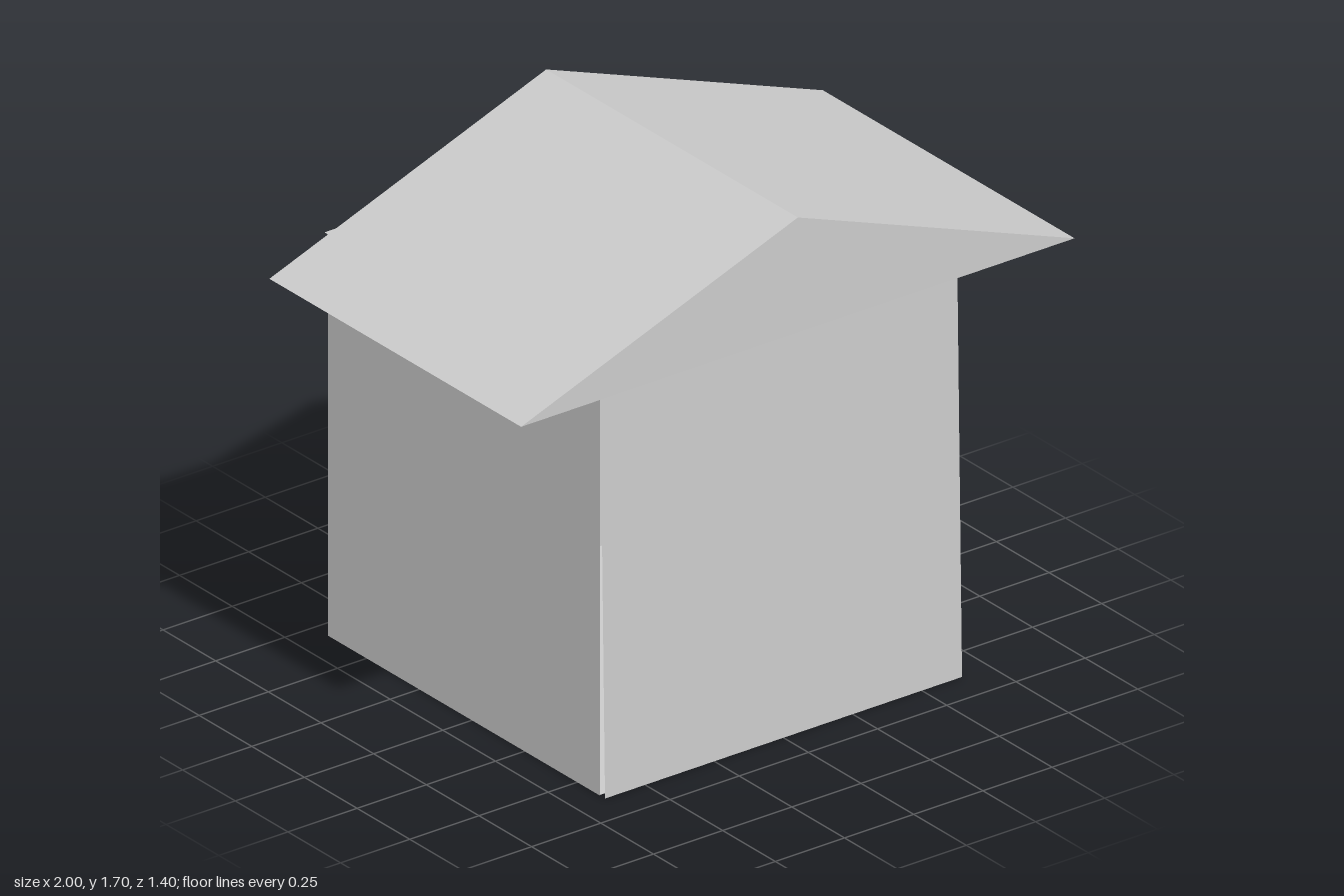
import * as THREE from 'three';

const material = new THREE.MeshStandardMaterial({ color: 0xcccccc, flatShading: true, side: THREE.DoubleSide });
const SIZE = 1.29;
const HALF = SIZE / 2;

export function createModel() {
  const model = new THREE.Group();
  model.name = 'house';

  // Every side of the body is a thin square panel
  const panel = (name, x, y, z, rx, ry) => {
    const mesh = new THREE.Mesh(new THREE.PlaneGeometry(SIZE, SIZE), material);
    mesh.name = name;
    mesh.position.set(x, y, z);
    mesh.rotation.set(rx, ry, 0);
    model.add(mesh);
  };

  // Front and back walls lean back very slightly
  const lean = 0.017;
  panel('frontWall', 0, HALF, 0.621, -lean, 0);
  panel('backWall', 0, HALF, -0.674, -lean, Math.PI);
  model.getObjectByName('backWall').rotation.set(Math.PI - lean, 0, Math.PI);

  // Side walls
  for (const s of [1, -1]) {
    panel(s > 0 ? 'leftWall' : 'rightWall', s * HALF, HALF, -0.037, 0, s * Math.PI / 2);
  }

  // Floor and ceiling
  panel('floor', 0, 0.002, -0.037, Math.PI / 2, 0);
  panel('ceiling', 0, SIZE, -0.055, -Math.PI / 2, 0);

  // Gabled roof, floating just above the body and shifted forward
  const gable = new THREE.Shape();
  gable.moveTo(-1, 1.33);
  gable.lineTo(1, 1.33);
  gable.lineTo(0, 1.7);
  gable.closePath();
  const roof = new THREE.Mesh(
    new THREE.ExtrudeGeometry(gable, { depth: 1.195, bevelEnabled: false }),
    material
  );
  roof.name = 'roof';
  roof.position.z = -0.495;
  model.add(roof);

  return model;
}
